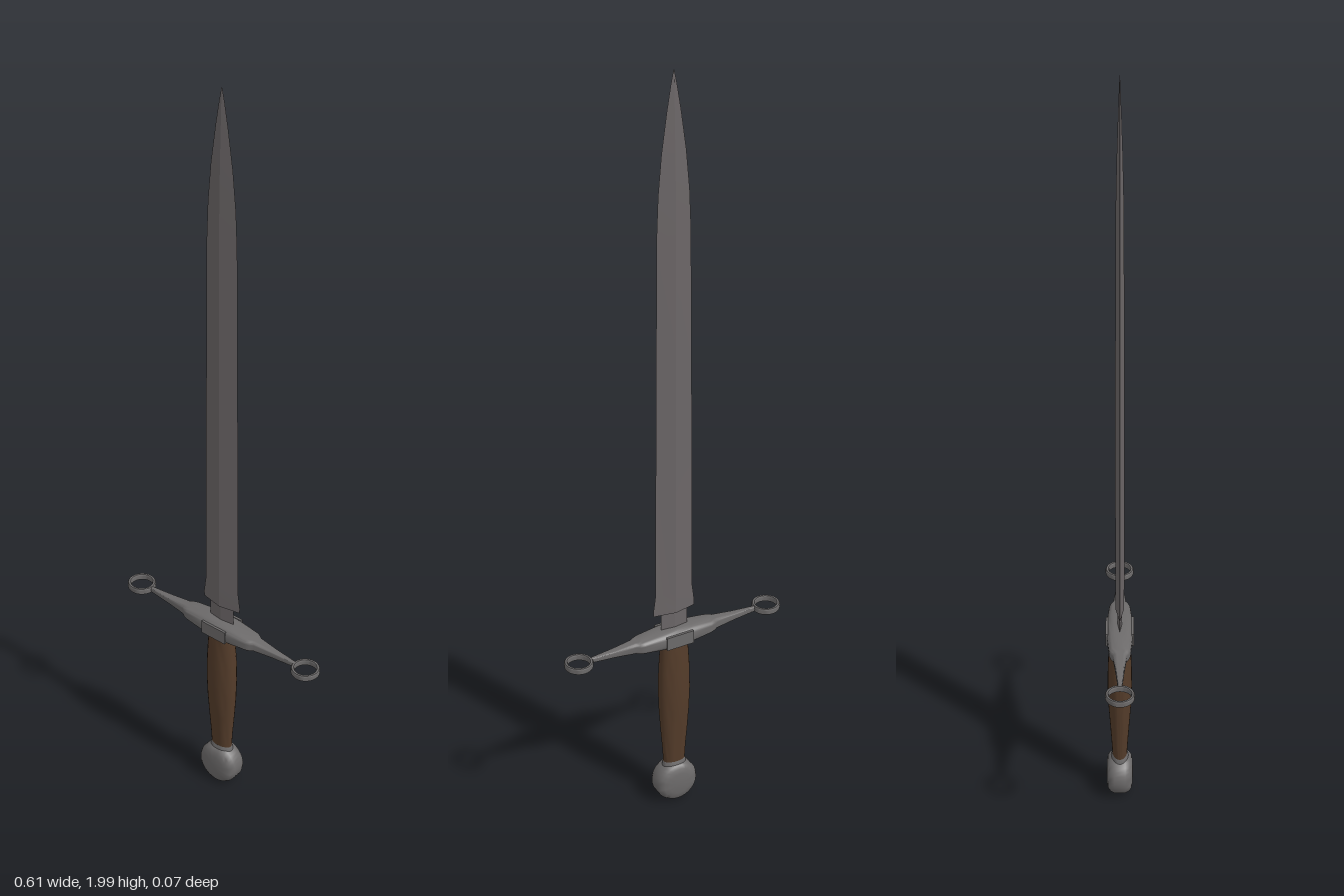
import * as THREE from 'three';
import { toCreasedNormals } from 'three/addons/utils/BufferGeometryUtils.js';

// Skins rings [y, halfX, halfZ] along y; power 2 is an ellipse, higher is boxier
function loft(sections, sides, power = 2, crease = 0.6) {
  const pos = [];
  const idx = [];
  const bend = (v) => Math.sign(v) * Math.pow(Math.abs(v), 2 / power);
  for (const [y, a, b] of sections) {
    for (let j = 0; j < sides; j++) {
      const t = (j / sides) * Math.PI * 2;
      pos.push(bend(Math.cos(t)) * a, y, bend(Math.sin(t)) * b);
    }
  }
  const last = sections.length - 1;
  const bottom = pos.length / 3;
  pos.push(0, sections[0][0], 0, 0, sections[last][0], 0);
  for (let j = 0; j < sides; j++) {
    const k = (j + 1) % sides;
    for (let i = 0; i < last; i++) {
      const p = i * sides, q = p + sides;
      idx.push(p + j, q + j, q + k, p + j, q + k, p + k);
    }
    idx.push(bottom, j, k, bottom + 1, last * sides + k, last * sides + j);
  }
  const g = new THREE.BufferGeometry();
  g.setAttribute('position', new THREE.Float32BufferAttribute(pos, 3));
  g.setIndex(idx);
  return toCreasedNormals(g, crease);
}

export function createModel() {
  const model = new THREE.Group();
  model.name = 'sword';
  const bladeSteel = new THREE.MeshStandardMaterial({ name: 'bladeSteel', color: 0x6b6667 });
  const fittingSteel = new THREE.MeshStandardMaterial({ name: 'fittingSteel', color: 0x6c6a6a });
  const wood = new THREE.MeshStandardMaterial({ name: 'gripWood', color: 0x543c2a });

  const add = (name, geometry, material, parent = model) => {
    const mesh = new THREE.Mesh(geometry, material);
    mesh.name = name;
    parent.add(mesh);
    return mesh;
  };

  // Diamond-section blade with a raised centre ridge and curved point
  add('blade', loft([
    [0.572, 0.057, 0.011], [0.585, 0.058, 0.011], [0.63, 0.052, 0.011],
    [1.1, 0.049, 0.011], [1.6, 0.045, 0.01], [1.7, 0.041, 0.009],
    [1.8, 0.032, 0.007], [1.9, 0.018, 0.004], [1.96, 0.008, 0.002], [1.995, 0.0008, 0.0005],
  ], 4, 2, 0.1), bladeSteel);
  add('ricasso', loft([[0.5, 0.037, 0.006], [0.575, 0.037, 0.006]], 4, 2, 0.1), bladeSteel);

  // Cross guard, swollen in the middle with slender arms
  const half = [
    [0, 0.025, 0.033], [0.04, 0.0235, 0.032], [0.095, 0.018, 0.027], [0.107, 0.0165, 0.023],
    [0.115, 0.0155, 0.017], [0.17, 0.01, 0.011], [0.235, 0.0065, 0.005],
  ];
  const mirrored = half.slice(1).reverse().map(([x, a, b]) => [-x, a, b]);
  const guard = new THREE.Group();
  guard.name = 'crossGuard';
  guard.position.y = 0.503;
  model.add(guard);
  add('guardBar', loft([...mirrored, ...half], 24, 3.2).rotateZ(-Math.PI / 2), fittingSteel, guard);

  // Small raised plates on the guard's front and back
  for (const s of [-1, 1]) {
    const plate = add(s > 0 ? 'frontPlate' : 'backPlate',
      new THREE.BoxGeometry(0.075, 0.036, 0.006), fittingSteel, guard);
    plate.position.z = s * 0.032;
  }

  // Flat rings at the ends of the guard
  const ringProfile = [
    [0.027, -0.005], [0.029, -0.008], [0.034, -0.008], [0.036, -0.005],
    [0.036, 0.005], [0.034, 0.008], [0.029, 0.008], [0.027, 0.005], [0.027, -0.005],
  ].map(([r, y]) => new THREE.Vector2(r, y));
  for (const s of [-1, 1]) {
    const ring = add(s > 0 ? 'leftRing' : 'rightRing',
      toCreasedNormals(new THREE.LatheGeometry(ringProfile, 32), 0.9), fittingSteel, guard);
    ring.position.x = s * 0.267;
  }

  // Oval wooden grip
  add('grip', loft([
    [0.105, 0.029, 0.018], [0.16, 0.032, 0.021], [0.22, 0.037, 0.025], [0.28, 0.041, 0.029],
    [0.34, 0.043, 0.031], [0.4, 0.042, 0.03], [0.45, 0.039, 0.028], [0.49, 0.036, 0.026],
  ], 24), wood);

  // Wheel pommel with domed faces, and the collar joining it to the grip
  const pommelProfile = [
    [0, -0.034], [0.03, -0.033], [0.043, -0.03], [0.051, -0.025], [0.057, -0.014],
    [0.057, 0.014], [0.051, 0.025], [0.043, 0.03], [0.03, 0.033], [0, 0.034],
  ].map(([r, y]) => new THREE.Vector2(r, y));
  const pommel = add('pommel',
    toCreasedNormals(new THREE.LatheGeometry(pommelProfile, 32).rotateX(Math.PI / 2), 0.7), fittingSteel);
  pommel.position.y = 0.06;
  add('pommelCollar', loft([[0.095, 0.034, 0.025], [0.113, 0.032, 0.022], [0.122, 0.029, 0.019]], 24), fittingSteel);

  return model;
}
